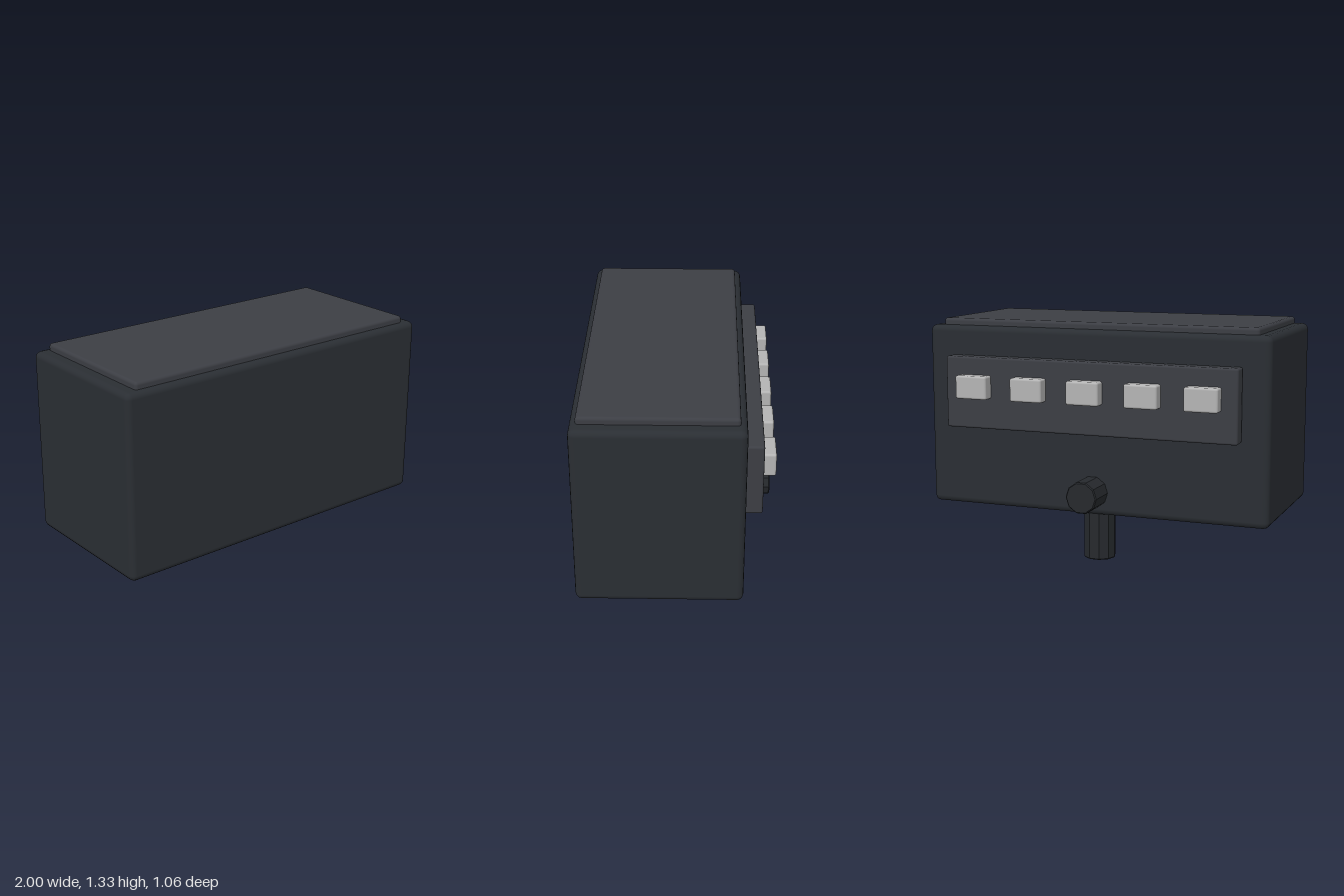
import * as THREE from 'three';
import { RoundedBoxGeometry } from 'three/addons/geometries/RoundedBoxGeometry.js';

const paint = (color) => new THREE.MeshStandardMaterial({ color });

// Bevelled box given by its [min, max] range on each axis
function bevelBox(name, [x0, x1], [y0, y1], [z0, z1], bevel, material) {
  const geometry = new RoundedBoxGeometry(x1 - x0, y1 - y0, z1 - z0, 2, bevel);
  const mesh = new THREE.Mesh(geometry, material);
  mesh.name = name;
  mesh.position.set((x0 + x1) / 2, (y0 + y1) / 2, (z0 + z1) / 2);
  return mesh;
}

// Ten-sided stub standing along y, with a small bevel at each end
function stub(name, length, material) {
  const r = 0.09, b = 0.006, h = length / 2;
  const profile = [[0, -h], [r - b, -h], [r, -h + b], [r, h - b], [r - b, h], [0, h]]
    .map(([x, y]) => new THREE.Vector2(x, y));
  const geometry = new THREE.LatheGeometry(profile, 10, Math.PI / 2);
  const mesh = new THREE.Mesh(geometry, material);
  mesh.name = name;
  return mesh;
}

export function createModel() {
  const model = new THREE.Group();
  model.name = 'connectorBox';

  const shell = paint(0x2a2e33);
  const trim = paint(0x3c3e44);
  const metal = paint(0xb4b4b4);
  const pipe = paint(0x26292d);
  pipe.flatShading = true;

  // Housing and raised lid
  model.add(bevelBox('housing', [-1, 1], [0.265, 1.295], [-0.357, 0.527], 0.035, shell));
  model.add(bevelBox('lid', [-0.925, 0.925], [1.25, 1.333], [-0.322, 0.493], 0.018, trim));

  // Rear panel with a row of contacts
  model.add(bevelBox('rearPanel', [-0.85, 0.85], [0.727, 1.13], [-0.448, -0.357], 0.012, trim));
  const contacts = new THREE.Group();
  contacts.name = 'contacts';
  for (let i = -2; i <= 2; i++) {
    const x = i * 0.333;
    contacts.add(bevelBox('contact', [x - 0.094, x + 0.094], [0.9, 1.03], [-0.515, -0.435], 0.012, metal));
  }
  model.add(contacts);

  // Pipe stubs below and behind
  const bottomStub = stub('bottomStub', 0.3, pipe);
  bottomStub.position.set(0, 0.15, -0.247);
  const rearStub = stub('rearStub', 0.2, pipe);
  rearStub.rotation.x = Math.PI / 2;
  rearStub.position.set(0, 0.395, -0.428);
  model.add(bottomStub, rearStub);

  return model;
}
